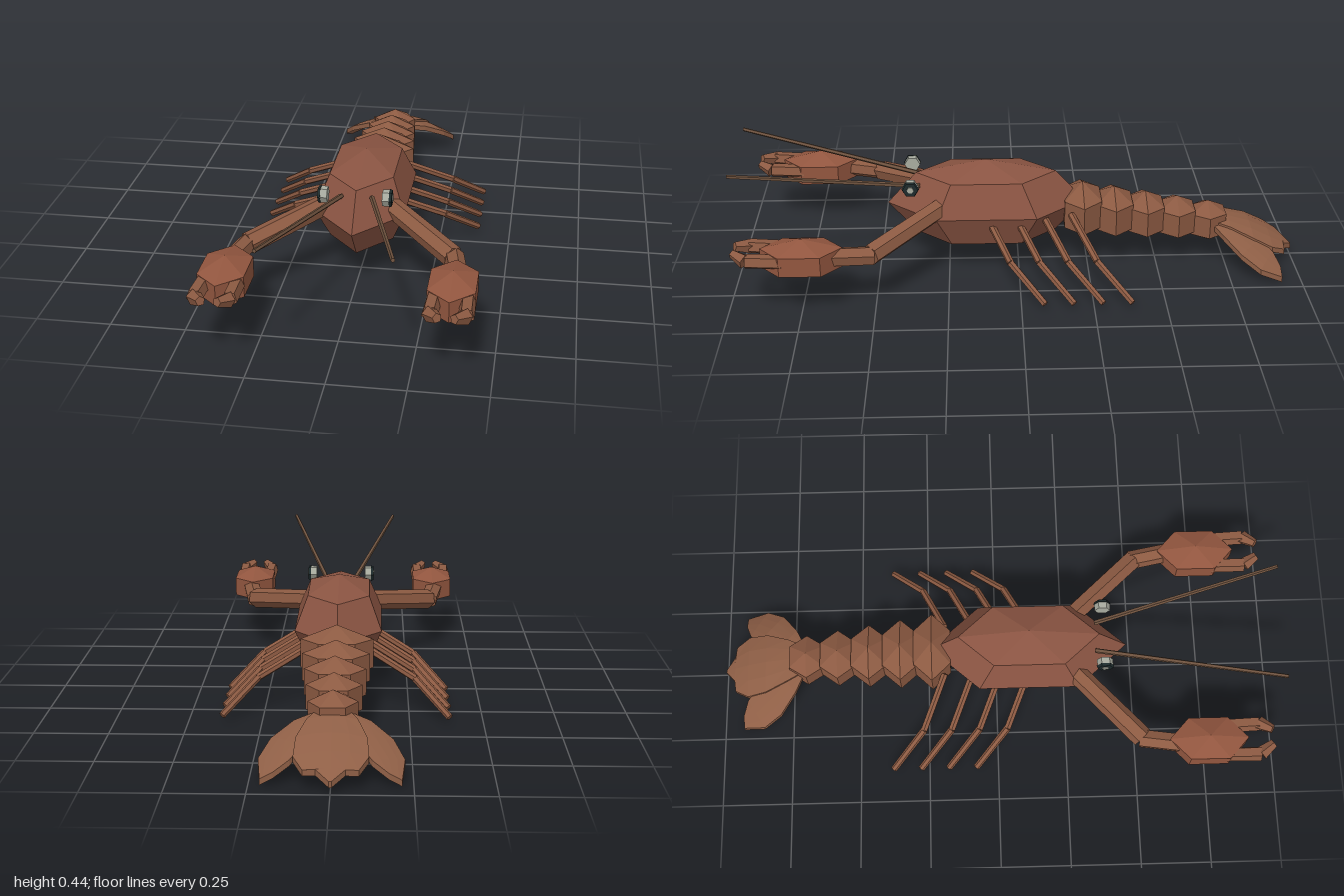
import * as THREE from 'three';

const mat = (color, side = THREE.FrontSide) => new THREE.MeshStandardMaterial({ color, flatShading: true, side });
const shellMat = mat(0x8a5442);
const clawMat = mat(0x92563f);
const limbMat = mat(0x8c5a42);
const feelerMat = mat(0x6e523e);
const fanMat = mat(0x8f5f46, THREE.DoubleSide);
const eyeMat = mat(0xa9aca0);
const rimMat = mat(0x1d2b2c);
const V = (p) => new THREE.Vector3(...p);

function add(parent, name, geometry, material) {
  const mesh = new THREE.Mesh(geometry, material);
  mesh.name = name;
  parent.add(mesh);
  return mesh;
}

// Faceted six-sided ellipsoid; turned = corners point along z instead of x
function blob(parent, name, centre, radii, rings, turned, material) {
  const g = new THREE.SphereGeometry(1, 6, rings);
  if (turned) g.rotateY(Math.PI / 2);
  g.scale(...radii);
  const mesh = add(parent, name, g, material);
  mesh.position.set(...centre);
  return mesh;
}

// Straight rod between two points
function rod(parent, name, a, b, ra, rb, sides, material) {
  const dir = V(b).sub(V(a));
  const mesh = add(parent, name, new THREE.CylinderGeometry(rb, ra, dir.length(), sides), material);
  mesh.position.copy(V(a)).addScaledVector(dir, 0.5);
  mesh.quaternion.setFromUnitVectors(new THREE.Vector3(0, 1, 0), dir.normalize());
  return mesh;
}

// Chain of rods through several points
function chain(parent, name, points, radii, sides, material) {
  const group = new THREE.Group();
  group.name = name;
  for (let i = 0; i + 1 < points.length; i++) {
    rod(group, name + 'Segment', points[i], points[i + 1], radii[i], radii[i + 1], sides, material);
  }
  parent.add(group);
}

// Thin plate between two [x, z] edges, drooping towards the back and the sides
function fanPlate(parent, name, inner, outer, lift = 0) {
  const cols = 4, thick = 0.02, ring = 2 * (cols + 1);
  const pos = [], idx = [];
  inner.forEach((a, i) => {
    const b = outer[i];
    for (let k = 0; k < ring; k++) {
      const top = k <= cols;
      const t = (top ? k : ring - 1 - k) / cols;
      const x = a[0] + (b[0] - a[0]) * t;
      const z = a[1] + (b[1] - a[1]) * t;
      const y = 0.155 + lift - 1.3 * (z + 0.69) ** 2 - 1.4 * x * x;
      pos.push(x, top ? y : y - thick, z);
    }
  });
  for (let i = 0; i + 1 < inner.length; i++) {
    for (let k = 0; k < ring; k++) {
      const a = i * ring + k, b = i * ring + (k + 1) % ring;
      idx.push(a, b, a + ring, b, b + ring, a + ring);
    }
  }
  // End caps
  for (const base of [0, (inner.length - 1) * ring]) {
    for (let k = 0; k < cols; k++) {
      const a = base + k, b = a + 1, c = base + ring - 2 - k, d = base + ring - 1 - k;
      idx.push(a, c, b, a, d, c);
    }
  }
  const g = new THREE.BufferGeometry();
  g.setAttribute('position', new THREE.Float32BufferAttribute(pos, 3));
  g.setIndex(idx);
  g.computeVertexNormals();
  add(parent, name, g, fanMat);
}

// Everything that exists once per side, built for +x
function buildSide(name) {
  const side = new THREE.Group();
  side.name = name;

  // Claw arm, palm and two bent fingers
  rod(side, 'upperArm', [0.1, 0.248, 0.27], [0.34, 0.19, 0.51], 0.036, 0.038, 6, limbMat);
  rod(side, 'forearm', [0.342, 0.188, 0.5], [0.367, 0.198, 0.65], 0.034, 0.034, 6, limbMat);
  blob(side, 'clawPalm', [0.36, 0.195, 0.74], [0.1, 0.07, 0.16], 3, true, clawMat);
  chain(side, 'outerFinger', [[0.412, 0.205, 0.8], [0.415, 0.212, 0.92], [0.383, 0.225, 0.965]], [0.026, 0.026, 0.016], 5, limbMat);
  chain(side, 'innerFinger', [[0.308, 0.205, 0.8], [0.305, 0.212, 0.92], [0.332, 0.225, 0.965]], [0.026, 0.026, 0.016], 5, limbMat);

  // Walking legs
  for (let i = 0; i < 4; i++) {
    const z = 0.1 - i * 0.1;
    chain(side, 'walkingLeg', [[0.09, 0.205, z + 0.015], [0.27, 0.112, z - 0.065], [0.385, 0.012, z - 0.18]], [0.013, 0.013, 0.012], 6, limbMat);
  }

  // Antenna
  rod(side, 'antenna', [0.052, 0.308, 0.35], [0.204, 0.424, 0.995], 0.009, 0.007, 5, feelerMat);

  // Eye: pale drum with a dark rim and a pale centre
  rod(side, 'eyeDrum', [0.092, 0.325, 0.38], [0.12, 0.325, 0.38], 0.028, 0.028, 6, eyeMat);
  rod(side, 'eyeRim', [0.115, 0.325, 0.38], [0.124, 0.325, 0.38], 0.031, 0.027, 6, rimMat);
  rod(side, 'eyeCentre', [0.118, 0.325, 0.38], [0.127, 0.325, 0.38], 0.014, 0.012, 6, eyeMat);

  // Outer tail lobe
  fanPlate(side, 'tailLobe',
    [[0.01, -0.7], [0.045, -0.79], [0.09, -0.87], [0.125, -0.91], [0.175, -0.93]],
    [[0.04, -0.69], [0.12, -0.73], [0.19, -0.785], [0.225, -0.85], [0.215, -0.93]], -0.008);
  return side;
}

export function createModel() {
  const model = new THREE.Group();
  model.name = 'lobster';

  blob(model, 'carapace', [0, 0.22, 0.115], [0.179, 0.165, 0.352], 4, true, shellMat);

  // Tail segments, shrinking and sinking to the back
  for (let i = 0; i < 5; i++) {
    const r = 1 - i * 0.09;
    blob(model, 'tailSegment', [0, 0.19 - i * 0.0143, -0.23 - i * 0.114],
      [0.145 * r, 0.102 - i * 0.006, 0.088 - i * 0.001], 3, false, limbMat);
  }

  // Middle tail plate
  const edge = [[0.04, -0.68], [0.08, -0.76], [0.11, -0.84], [0.115, -0.91], [0.085, -0.96], [0.045, -0.965], [0.004, -1]];
  fanPlate(model, 'tailPlate', edge.map(([x, z]) => [-x, z]), edge);

  const left = buildSide('leftSide');
  const right = buildSide('rightSide');
  right.scale.x = -1;
  model.add(left, right);
  return model;
}
